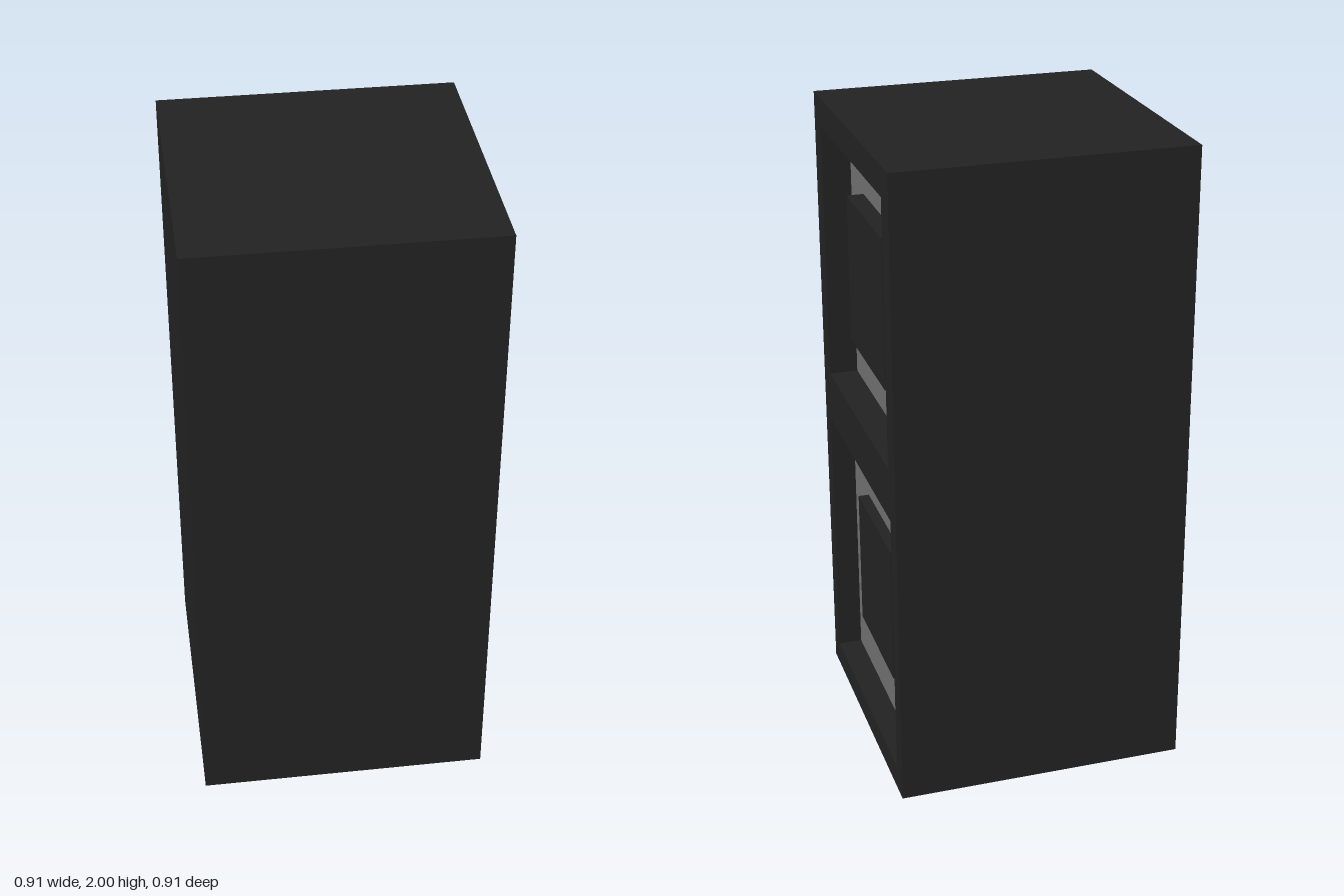
import * as THREE from 'three';

const HALF = 0.453; // half width of the cabinet
const HEIGHT = 2;
const RIM = 0.1; // thickness of the slab that carries the openings

// openings on the +x side: half width, bottom, top, depth of the floor,
// then half width, bottom, top and depth of the raised block
const bays = [
  { name: 'upper', w: 0.373, y0: 1.092, y1: 1.91, floor: 0.09, bw: 0.212, b0: 1.267, b1: 1.735, face: 0.037 },
  { name: 'lower', w: 0.388, y0: 0.077, y1: 0.929, floor: 0.076, bw: 0.204, b0: 0.278, b1: 0.725, face: 0.042 },
];

function rectangle(target, w, y0, y1) {
  target.moveTo(-w, y0);
  target.lineTo(w, y0);
  target.lineTo(w, y1);
  target.lineTo(-w, y1);
  target.closePath();
  return target;
}

export function createModel() {
  const group = new THREE.Group();
  const dark = new THREE.MeshStandardMaterial({ color: 0x222222 });
  const grey = new THREE.MeshStandardMaterial({ color: 0x707070 });

  const add = (name, geometry, material) => {
    const mesh = new THREE.Mesh(geometry, material);
    mesh.name = name;
    group.add(mesh);
    return mesh;
  };

  // box spanning x0..x1, y0..y1 and -w..w in z
  const slab = (name, x0, x1, y0, y1, w, material) =>
    add(name, new THREE.BoxGeometry(x1 - x0, y1 - y0, 2 * w), material)
      .position.set((x0 + x1) / 2, (y0 + y1) / 2, 0);

  // solid cabinet behind the openings
  slab('cabinet', -HALF, HALF - RIM, 0, HEIGHT, HALF, dark);

  // frame with two openings, turned to face +x
  const outline = rectangle(new THREE.Shape(), HALF, 0, HEIGHT);
  for (const b of bays) outline.holes.push(rectangle(new THREE.Path(), b.w, b.y0, b.y1));
  const frame = new THREE.ExtrudeGeometry(outline, { depth: RIM, bevelEnabled: false });
  frame.rotateY(Math.PI / 2);
  frame.translate(HALF - RIM, 0, 0);
  add('frame', frame, dark);

  // grey recessed panel and raised dark block in each opening
  for (const b of bays) {
    slab(b.name + 'Panel', HALF - RIM, HALF - b.floor, b.y0, b.y1, b.w, grey);
    slab(b.name + 'Block', HALF - b.floor, HALF - b.face, b.b0, b.b1, b.bw, dark);
  }
  return group;
}
